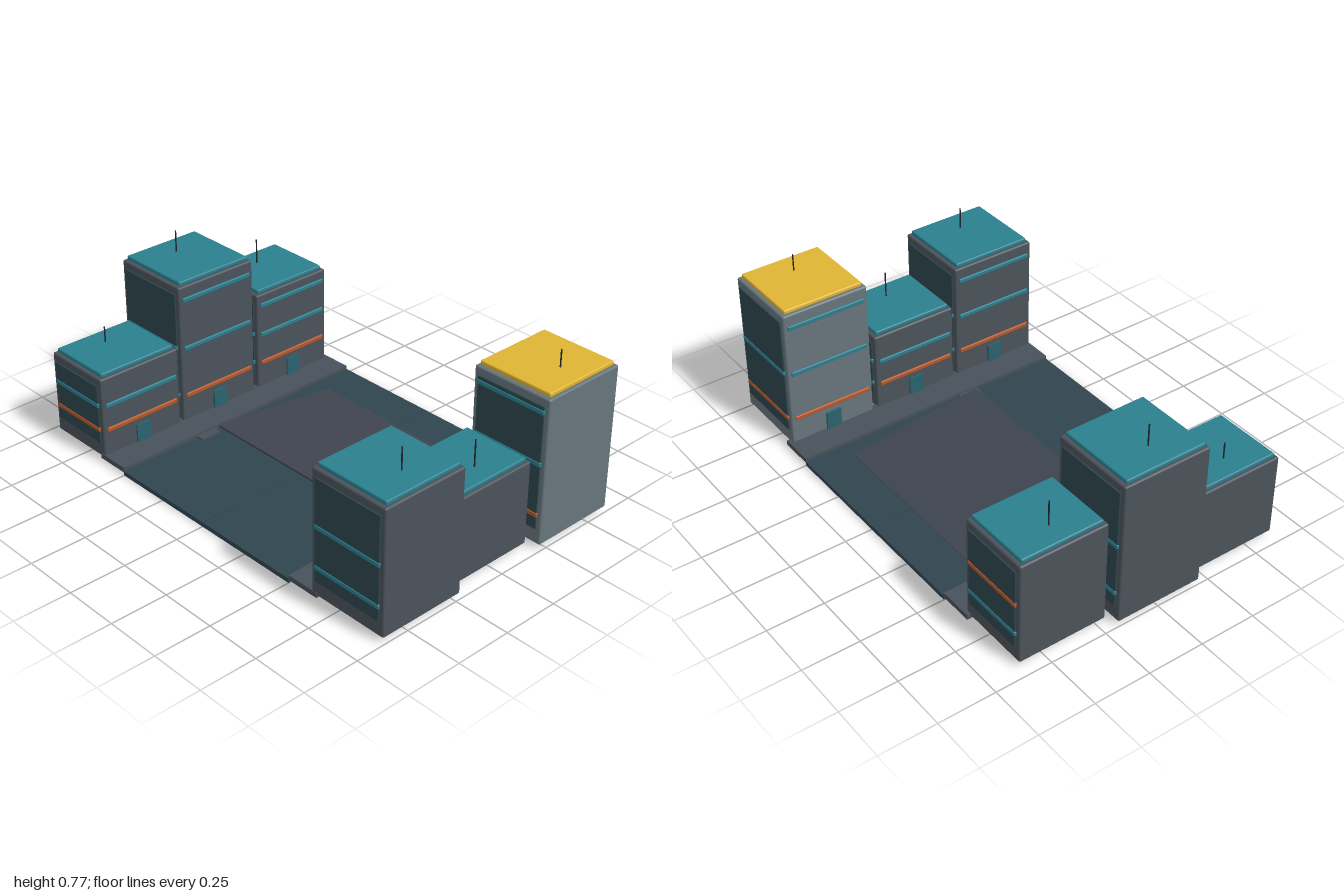
import * as THREE from 'three';
import { RoundedBoxGeometry } from 'three/addons/geometries/RoundedBoxGeometry.js';

const mat = (color) => new THREE.MeshStandardMaterial({ color });
const M = {
  wall: mat(0x4a525a), paleWall: mat(0x66757c), glass: mat(0x2c464e), teal: mat(0x2a7f8e),
  yellow: mat(0xe0b434), orange: mat(0xb4582a), road: mat(0x30454f), path: mat(0x48515a),
  hatch: mat(0x3e444f), dark: mat(0x20262b), door: mat(0x2a626e),
};

// Box given by its centre and size; r > 0 rounds the edges
function box(parent, name, material, [x, y, z], [w, h, d], r = 0) {
  const geo = r ? new RoundedBoxGeometry(w, h, d, 2, r) : new THREE.BoxGeometry(w, h, d);
  const mesh = new THREE.Mesh(geo, material);
  mesh.name = name;
  mesh.position.set(x, y, z);
  parent.add(mesh);
  return mesh;
}

const BASE = 0.022, INNER = 0.625, DEPTH = 0.395;

// side: +1 or -1 along x; accents: index of the orange band on front, inner and back
function building({ side, z, width, top, bands, front, accents, mast, pale }) {
  const g = new THREE.Group();
  g.name = pale ? 'landmarkBuilding' : 'building';
  const x = side * (INNER + width / 2), h = top - BASE;
  box(g, 'walls', pale ? M.paleWall : M.wall, [x, BASE + h / 2, z], [width, h, DEPTH], 0.008);
  box(g, 'roof', pale ? M.yellow : M.teal, [x, top + 0.009, z], [width - 0.025, 0.02, DEPTH - 0.03], 0.006);

  // Glazed panels and floor bands on the front and back
  for (const s of [1, -1]) {
    const face = z + s * DEPTH / 2;
    box(g, 'windowPanel', M.glass, [x, (0.09 + top - 0.035) / 2, face], [width - 0.045, top - 0.125, 0.012]);
    const count = s > 0 ? front : 2;
    const accent = s > 0 ? accents[0] : accents[2];
    bands.slice(0, count).forEach((y, i) =>
      box(g, 'floorBand', i === accent ? M.orange : M.teal, [x, y, face], [width - 0.04, 0.02, 0.018], 0.004));
  }

  // Bands and door facing the street
  bands.forEach((y, i) =>
    box(g, 'streetBand', i === accents[1] ? M.orange : M.teal, [side * INNER, y, z], [0.014, 0.02, 0.36], 0.004));
  box(g, 'door', M.door, [side * INNER, 0.075, z], [0.018, 0.085, 0.07]);

  // Roof mast
  const len = mast - top;
  const pole = new THREE.Mesh(new THREE.CylinderGeometry(0.003, 0.003, len, 8), M.dark);
  pole.name = 'mast';
  pole.position.set(side * (pale || width > 0.35 ? 0.877 : 0.847), top + len / 2, z + 0.005);
  g.add(pole);
  return g;
}

export function createModel() {
  const root = new THREE.Group();
  root.name = 'streetBlock';

  // Road with centre dashes
  box(root, 'road', M.road, [0, 0.01, -0.003], [1.0, 0.02, 1.25]);
  for (const z of [-0.5, -0.25, 0, 0.25, 0.5])
    box(root, 'laneDash', M.road, [0, 0.021, z], [0.01, 0.004, 0.12]);

  // Pavements and small kerb blocks
  for (const s of [1, -1]) {
    box(root, 'pavement', M.path, [s * 0.576, 0.025, -0.003], [0.152, 0.022, 1.25]);
    box(root, 'kerbBlock', M.path, [s * 0.482, 0.022, 0.19], [0.036, 0.012, 0.095]);
  }

  // Large hatch plate, hinged low at the back and raised at the front
  const plate = box(root, 'hatchPlate', M.hatch, [0, 0.053, -0.132], [0.85, 0.008, 0.627]);
  plate.rotation.x = -Math.atan2(0.068, 0.62);

  // Six buildings, three on each side of the street
  const lots = [
    { side: 1, z: 0.422, width: 0.37, top: 0.57, bands: [0.152, 0.33, 0.51], front: 2, accents: [-1, 0, -1], mast: 0.685 },
    { side: 1, z: 0.007, width: 0.322, top: 0.39, bands: [0.152, 0.265], front: 2, accents: [-1, 0, -1], mast: 0.525 },
    { side: 1, z: -0.413, width: 0.37, top: 0.66, bands: [0.152, 0.376, 0.6], front: 3, accents: [0, 0, 0], mast: 0.755, pale: true },
    { side: -1, z: 0.422, width: 0.327, top: 0.39, bands: [0.152, 0.265], front: 2, accents: [0, 0, -1], mast: 0.48 },
    { side: -1, z: 0.007, width: 0.374, top: 0.66, bands: [0.152, 0.376, 0.6], front: 2, accents: [-1, 0, -1], mast: 0.775 },
    { side: -1, z: -0.413, width: 0.327, top: 0.48, bands: [0.152, 0.29, 0.43], front: 2, accents: [-1, 0, 1], mast: 0.61 },
  ];
  for (const lot of lots) root.add(building(lot));
  return root;
}
